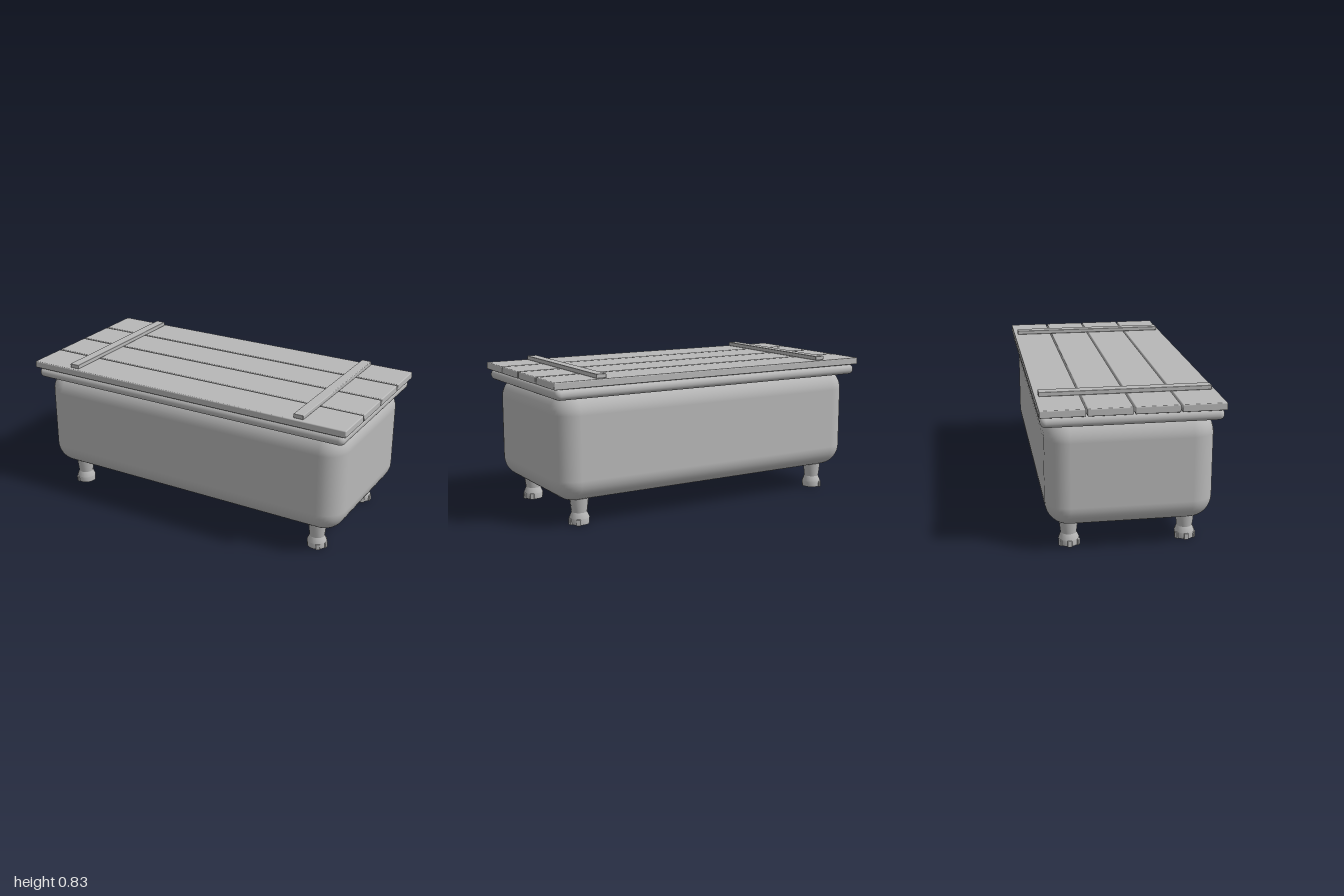
import * as THREE from 'three';
import { RoundedBoxGeometry } from 'three/addons/geometries/RoundedBoxGeometry.js';
import { toCreasedNormals } from 'three/addons/utils/BufferGeometryUtils.js';

export function createModel() {
  const model = new THREE.Group();
  model.name = 'coveredTub';

  const grey = new THREE.MeshStandardMaterial({ color: 0xb8b8b8 });
  grey.name = 'plainGrey';

  // Rounded block spanning y0..y1, centred on x, z
  function block(name, width, y0, y1, depth, radius, segments, x = 0, z = 0) {
    const mesh = new THREE.Mesh(new RoundedBoxGeometry(width, y1 - y0, depth, segments, radius), grey);
    mesh.name = name;
    mesh.position.set(x, (y0 + y1) / 2, z);
    model.add(mesh);
  }

  // Tub body and rolled rim
  block('tubBody', 1.924, 0.14, 0.74, 0.89, 0.125, 5);
  block('tubRim', 1.972, 0.706, 0.765, 0.942, 0.029, 5);

  // Four cover planks running lengthwise
  for (let i = 0; i < 4; i++) {
    block('coverPlank', 2, 0.766, 0.806, 0.233, 0.006, 2, 0, (i - 1.5) * 0.2405);
  }

  // Two battens across the planks
  for (const side of [-1, 1]) {
    block('coverBatten', 0.059, 0.806, 0.83, 0.914, 0.004, 2, side * 0.723);
  }

  // Feet: waisted post with three toes fanned towards the tub's end
  const profile = [[0, 0.003], [0.054, 0.003], [0.056, 0.037], [0.043, 0.068], [0.053, 0.153], [0, 0.153]];
  const postGeometry = toCreasedNormals(
    new THREE.LatheGeometry(profile.map(([r, y]) => new THREE.Vector2(r, y)), 16), 0.5);
  const toeGeometry = new RoundedBoxGeometry(0.026, 0.036, 0.025, 2, 0.004);

  for (const sx of [-1, 1]) {
    for (const sz of [-1, 1]) {
      const foot = new THREE.Group();
      foot.name = 'foot';
      const post = new THREE.Mesh(postGeometry, grey);
      post.name = 'footPost';
      foot.add(post);
      for (const angle of [-Math.PI / 3, 0, Math.PI / 3]) {
        const toe = new THREE.Mesh(toeGeometry, grey);
        toe.name = 'toe';
        toe.position.set(Math.cos(angle) * 0.048, 0.018, -Math.sin(angle) * 0.048);
        toe.rotation.y = angle;
        foot.add(toe);
      }
      foot.position.set(sx * 0.797, 0, sz * 0.315);
      foot.rotation.y = sx > 0 ? 0 : Math.PI;
      model.add(foot);
    }
  }

  return model;
}
